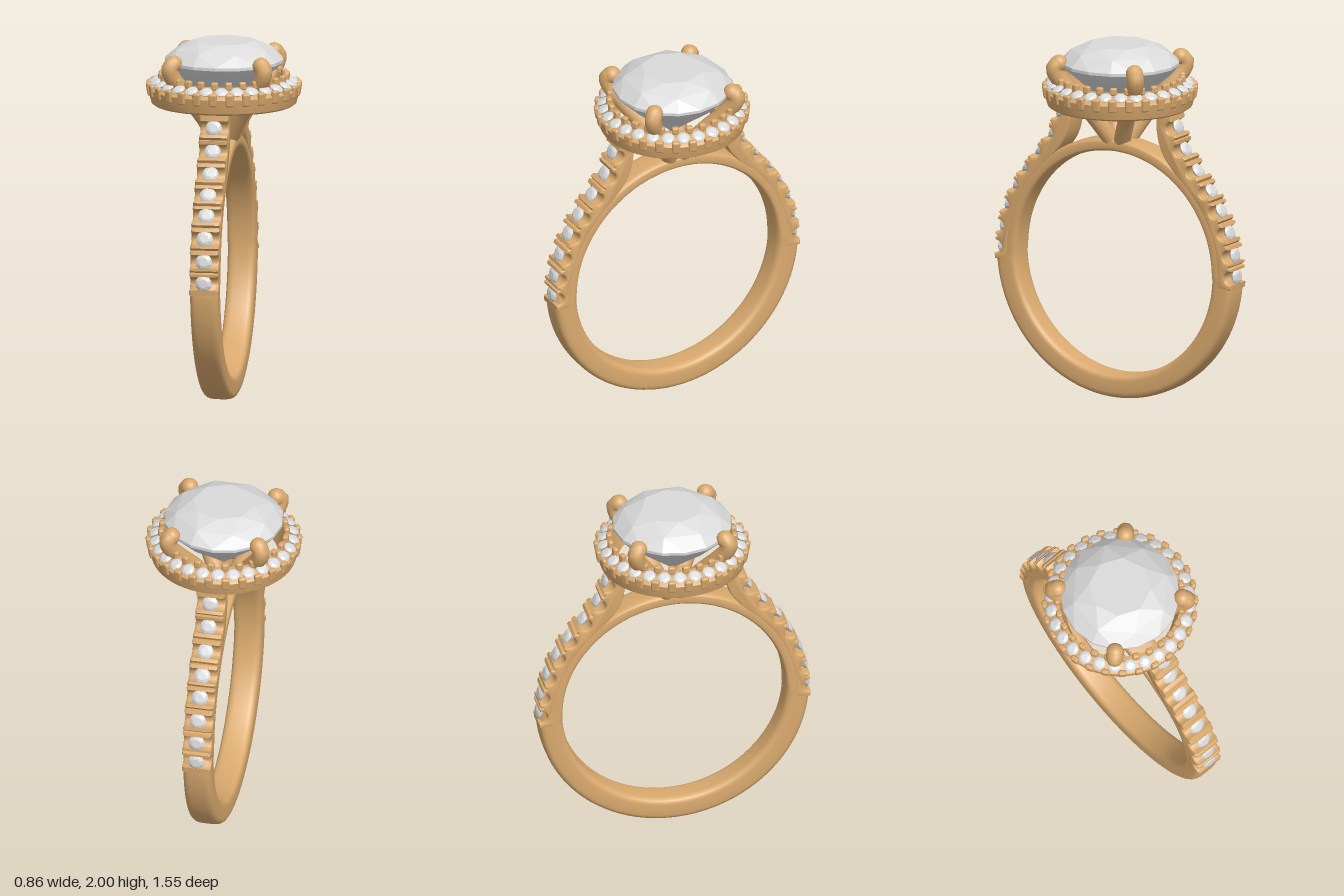
import * as THREE from 'three';
import { toCreasedNormals } from 'three/addons/utils/BufferGeometryUtils.js';
import { ConvexGeometry } from 'three/addons/geometries/ConvexGeometry.js';
import { RoundedBoxGeometry } from 'three/addons/geometries/RoundedBoxGeometry.js';

const UP = new THREE.Vector3(0, 1, 0);
const CENTRE_Y = 0.765, INNER_R = 0.63, OUTER_R = 0.765, HALF_W = 0.08;

// Round faceted stone of radius 1 with its girdle at y = 0
function gemGeometry() {
  const points = [new THREE.Vector3(0, -0.88, 0)];
  const ring = (count, r, y, offset = 0) => {
    for (let i = 0; i < count; i++) {
      const a = ((i + offset) / count) * Math.PI * 2;
      points.push(new THREE.Vector3(Math.cos(a) * r, y, Math.sin(a) * r));
    }
  };
  ring(8, 0.52, 0.335);
  ring(8, 0.82, 0.21, 0.5);
  ring(16, 1, 0.03);
  ring(16, 1, -0.02);
  ring(8, 0.84, -0.2, 0.5);
  return new ConvexGeometry(points);
}

// Closed band with a soft-cornered section, thinner where the shoulders sit on it
function bandGeometry() {
  const around = 128, sides = 28, positions = [], index = [];
  const soft = (v) => Math.sign(v) * Math.pow(Math.abs(v), 0.5);
  for (let i = 0; i < around; i++) {
    const a = (i / around) * Math.PI * 2;
    const upper = THREE.MathUtils.smoothstep(Math.cos(a), -0.06, 0.03);
    const outer = OUTER_R - 0.062 * upper;
    const mid = (INNER_R + outer) / 2, half = (outer - INNER_R) / 2;
    for (let j = 0; j < sides; j++) {
      const p = (j / sides) * Math.PI * 2;
      const r = mid + half * soft(Math.sin(p));
      positions.push(HALF_W * soft(Math.cos(p)), CENTRE_Y + r * Math.cos(a), r * Math.sin(a));
      const i2 = (i + 1) % around, j2 = (j + 1) % sides;
      const A = i * sides + j, B = i * sides + j2, C = i2 * sides + j, D = i2 * sides + j2;
      index.push(A, B, C, B, D, C);
    }
  }
  const g = new THREE.BufferGeometry();
  g.setAttribute('position', new THREE.Float32BufferAttribute(positions, 3));
  g.setIndex(index);
  g.computeVertexNormals();
  return g;
}

// Outer edge of a shoulder as (z, y); points 1 to 8 are stone seats
const EDGE = [[0.766, 0.7], [0.766, 0.77], [0.754, 0.89], [0.72, 1.015], [0.665, 1.135], [0.6, 1.24],
  [0.515, 1.345], [0.435, 1.455], [0.387, 1.575], [0.37, 1.65]].map(([z, y]) => new THREE.Vector2(z, y));

function seat(k) {
  const t = EDGE[k + 1].clone().sub(EDGE[k - 1]).normalize();
  return { p: EDGE[k], t, n: new THREE.Vector2(t.y, -t.x) };
}

// Shoulder cut with a scallop at each stone and a small groove between stones
function shoulderGeometry() {
  const outline = [EDGE[0].clone()];
  const at = ({ p, t, n }, along, out) => p.clone().addScaledVector(t, along).addScaledVector(n, out);
  for (let k = 1; k <= 8; k++) {
    const s = seat(k);
    for (let i = 0; i <= 10; i++) {
      const a = (i / 10) * Math.PI;
      outline.push(at(s, -0.038 * Math.cos(a), -0.046 * Math.sin(a)));
    }
    if (k < 8) {
      const next = seat(k + 1);
      const n = s.n.clone().add(next.n).normalize();
      const mid = { p: s.p.clone().add(next.p).multiplyScalar(0.5), n, t: new THREE.Vector2(-n.y, n.x) };
      outline.push(at(mid, -0.009, 0.003), at(mid, 0, -0.014), at(mid, 0.009, 0.003));
    }
  }
  outline.push(EDGE[9].clone());
  const inner = new THREE.SplineCurve([[0.28, 1.65], [0.281, 1.55], [0.31, 1.44], [0.38, 1.34], [0.5, 1.22],
    [0.6, 1.075], [0.66, 0.92], [0.68, 0.7]].map(([z, y]) => new THREE.Vector2(z, y)));
  outline.push(...inner.getPoints(36));
  const g = new THREE.ExtrudeGeometry(new THREE.Shape(outline), {
    depth: 2 * HALF_W - 0.03, bevelThickness: 0.015, bevelSize: 0.01, bevelOffset: -0.01, bevelSegments: 3,
  });
  g.translate(0, 0, -HALF_W + 0.015);
  g.rotateY(-Math.PI / 2);
  return toCreasedNormals(g, 0.6);
}

export function createModel() {
  const gold = new THREE.MeshStandardMaterial({ color: 0xd9a96e });
  gold.name = 'gold';
  const crystal = new THREE.MeshStandardMaterial({ color: 0xdadada });
  crystal.name = 'crystal';

  const model = new THREE.Group();
  model.name = 'ring';
  const add = (parent, name, geometry, material) => {
    const mesh = new THREE.Mesh(geometry, material);
    mesh.name = name;
    parent.add(mesh);
    return mesh;
  };
  const gem = gemGeometry();

  add(model, 'band', bandGeometry(), gold);

  // Two mirrored shoulders with eight stones each
  const shoulder = shoulderGeometry();
  for (const [name, turn] of [['frontShoulder', 0], ['backShoulder', Math.PI]]) {
    const group = new THREE.Group();
    group.name = name;
    group.rotation.y = turn;
    add(group, 'shoulderBody', shoulder, gold);
    for (let k = 1; k <= 8; k++) {
      const { p, n } = seat(k);
      const stone = add(group, 'shoulderStone', gem, crystal);
      stone.scale.setScalar(0.046);
      stone.position.set(0, p.y - 0.009 * n.y, p.x - 0.009 * n.x);
      stone.quaternion.setFromUnitVectors(UP, new THREE.Vector3(0, n.y, n.x));
    }
    model.add(group);
  }

  // Halo: open bowl whose sloping rim carries the small stones
  const haloProfile = [[0.3, 1.655], [0.31, 1.645], [0.385, 1.645], [0.4, 1.655], [0.41, 1.69], [0.419, 1.735],
    [0.41, 1.745], [0.36, 1.768], [0.352, 1.795], [0.335, 1.795], [0.325, 1.75], [0.3, 1.655]]
    .map(([r, y]) => new THREE.Vector2(r, y));
  const halo = new THREE.Group();
  halo.name = 'halo';
  model.add(halo);
  add(halo, 'haloBody', toCreasedNormals(new THREE.LatheGeometry(haloProfile, 84), 0.7), gold);

  const outerTooth = new RoundedBoxGeometry(0.046, 0.075, 0.03, 2, 0.012);
  const innerTooth = new RoundedBoxGeometry(0.04, 0.045, 0.032, 2, 0.011);
  const COUNT = 28;
  for (let i = 0; i < COUNT; i++) {
    const step = (Math.PI * 2) / COUNT;
    const teeth = new THREE.Group();
    teeth.name = 'haloTeeth';
    teeth.rotation.y = i * step;
    const outer = add(teeth, 'outerTooth', outerTooth, gold);
    outer.position.set(0, 1.735, 0.413);
    outer.rotation.x = 0.15;
    add(teeth, 'innerTooth', innerTooth, gold).position.set(0, 1.802, 0.347);
    halo.add(teeth);

    const a = (i + 0.5) * step;
    const stone = add(halo, 'haloStone', gem, crystal);
    stone.scale.setScalar(0.037);
    stone.position.set(Math.sin(a) * 0.384, 1.775, Math.cos(a) * 0.384);
    stone.quaternion.setFromUnitVectors(UP, new THREE.Vector3(Math.sin(a) * 0.45, 0.893, Math.cos(a) * 0.45));
  }

  // Centre stone
  const centre = add(model, 'centreStone', gem, crystal);
  centre.scale.setScalar(0.33);
  centre.position.y = 1.889;

  // Four claws rising from the top of the band and curling over the centre stone
  const path = new THREE.CatmullRomCurve3([[0.03, 1.43], [0.17, 1.62], [0.29, 1.75], [0.362, 1.84], [0.372, 1.88], [0.345, 1.905]]
    .map(([r, y]) => new THREE.Vector3(0, y, r)));
  const claw = new THREE.TubeGeometry(path, 32, 0.047, 14);
  const tip = new THREE.SphereGeometry(0.048, 18, 12);
  for (let i = 0; i < 4; i++) {
    const group = new THREE.Group();
    group.name = 'claw';
    group.rotation.y = Math.PI / 4 + (i * Math.PI) / 2;
    add(group, 'clawArm', claw, gold);
    add(group, 'clawTip', tip, gold).position.set(0, 1.903, 0.345);
    model.add(group);
  }
  return model;
}
